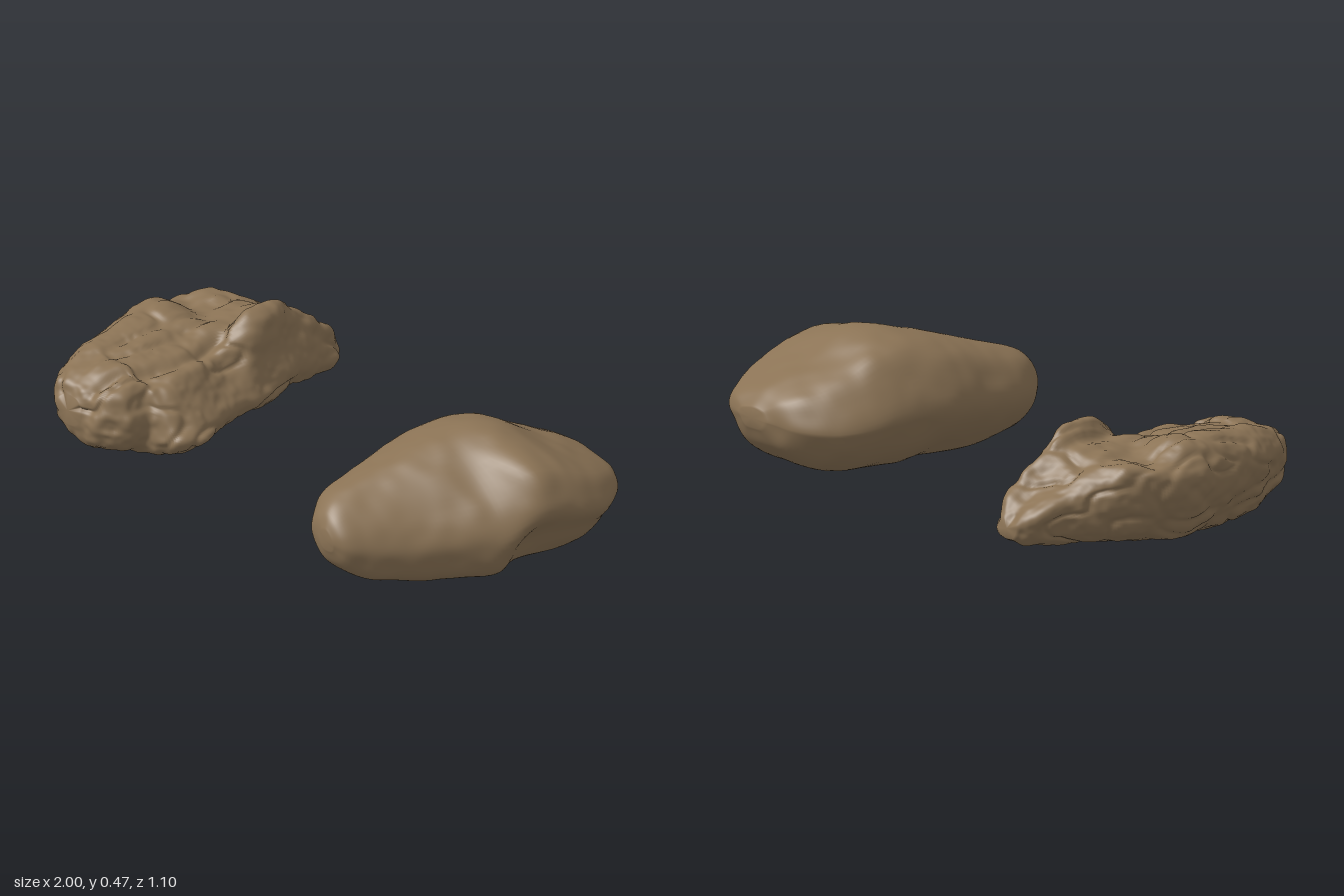
import * as THREE from 'three';

// Repeatable 3D value noise, about -1..1
const hash = (x, y, z) => {
  const s = Math.sin(x * 127.1 + y * 311.7 + z * 74.7) * 43758.5453;
  return (s - Math.floor(s)) * 2 - 1;
};
const fade = (t) => t * t * (3 - 2 * t);
const mix = THREE.MathUtils.lerp;
function noise(x, y, z) {
  const X = Math.floor(x), Y = Math.floor(y), Z = Math.floor(z);
  const u = fade(x - X), v = fade(y - Y), w = fade(z - Z);
  const row = (b, c) => mix(hash(X, Y + b, Z + c), hash(X + 1, Y + b, Z + c), u);
  return mix(mix(row(0, 0), row(1, 0), v), mix(row(0, 1), row(1, 1), v), w);
}
const bump = (d, r) => Math.exp(-(d * d) / (r * r));

// Lofts unit outlines through sections [z, xLeft, xRight, yBottom, yTop, outline],
// then pushes each vertex along its normal by relief(point, normal).
function makeRock(outlines, sections, rings, sides, relief) {
  const loops = outlines.map((o) => new THREE.CatmullRomCurve3(
    o.map(([u, v]) => new THREE.Vector3(u, v, 0)), true));
  const columns = Array.from({ length: sides }, (_, j) => new THREE.CatmullRomCurve3(
    sections.map(([z, xl, xr, yb, yt, o]) => {
      const p = loops[o].getPoint(j / sides);
      return new THREE.Vector3(
        (xl + xr) / 2 + (p.x * (xr - xl)) / 2,
        (yb + yt) / 2 + (p.y * (yt - yb)) / 2, z);
    })));

  const pos = [], index = [];
  for (let i = 0; i <= rings; i++) {
    for (const c of columns) pos.push(...c.getPoint(i / rings).toArray());
  }
  // End centres
  for (const [s, dz] of [[sections[0], -0.004], [sections.at(-1), 0.004]]) {
    pos.push((s[1] + s[2]) / 2, (s[3] + s[4]) / 2, s[0] + dz);
  }
  const back = (rings + 1) * sides, front = back + 1;
  for (let j = 0; j < sides; j++) {
    const k = (j + 1) % sides;
    for (let i = 0; i < rings; i++) {
      const a = i * sides + j, b = i * sides + k;
      index.push(a, a + sides, b, b, a + sides, b + sides);
    }
    index.push(back, j, k, front, rings * sides + k, rings * sides + j);
  }
  const geo = new THREE.BufferGeometry();
  geo.setAttribute('position', new THREE.Float32BufferAttribute(pos, 3));
  geo.setIndex(index);
  geo.computeVertexNormals();

  const P = geo.attributes.position, N = geo.attributes.normal;
  const p = new THREE.Vector3(), n = new THREE.Vector3();
  for (let i = 0; i < P.count; i++) {
    p.fromBufferAttribute(P, i);
    n.fromBufferAttribute(N, i);
    p.addScaledVector(n, relief(p, n));
    P.setXYZ(i, p.x, Math.max(p.y, 0), p.z);
  }
  geo.computeVertexNormals();
  return geo;
}

// Smooth boulder: flat-backed, sloping to the outer side at the front, one hollow
function boulderGeometry() {
  const rear = [[-1, -0.05], [-0.9, 0.35], [-0.7, 0.77], [-0.45, 0.92], [-0.1, 1],
    [0.27, 0.92], [0.78, 0.72], [0.95, 0.42], [1, 0.12], [0.84, -0.25], [0.66, -0.68],
    [0.46, -0.92], [-0.03, -1], [-0.47, -0.94], [-0.76, -0.66], [-0.96, -0.2]];
  const fore = [[-1, 0.02], [-0.92, 0.4], [-0.72, 0.77], [-0.45, 0.93], [-0.1, 1],
    [0.22, 0.87], [0.62, 0.52], [0.87, 0.18], [1, -0.15], [0.96, -0.48], [0.84, -0.78],
    [0.6, -0.95], [0.15, -1], [-0.25, -0.93], [-0.66, -0.64], [-0.93, -0.27]];
  const sections = [
    [-0.54, 0.64, 0.77, 0.17, 0.24, 0], [-0.5, 0.52, 0.87, 0.1, 0.29, 0],
    [-0.4, 0.41, 0.96, 0.035, 0.345, 0], [-0.3, 0.365, 0.995, 0.012, 0.395, 0],
    [-0.2, 0.345, 0.99, 0.004, 0.45, 0], [-0.1, 0.335, 0.975, 0.004, 0.472, 0],
    [0.02, 0.325, 0.92, 0.006, 0.452, 1], [0.1, 0.325, 0.87, 0.01, 0.43, 1],
    [0.2, 0.335, 0.8, 0.015, 0.4, 1], [0.3, 0.35, 0.735, 0.028, 0.375, 1],
    [0.4, 0.385, 0.68, 0.06, 0.345, 1], [0.47, 0.45, 0.63, 0.125, 0.3, 1],
    [0.493, 0.52, 0.585, 0.18, 0.25, 1]];
  const hollow = new THREE.Vector3(0.87, 0.14, -0.1);
  return makeRock([rear, fore], sections, 96, 72, (p) =>
    0.008 * noise(p.x * 6, p.y * 8, p.z * 6)
    + 0.003 * noise(p.x * 17, p.y * 17, p.z * 17)
    - 0.025 * bump(p.distanceTo(hollow), 0.1));
}

// Craggy rock: rear peak, saddle, blocky front, low side ledge, cleft and cracks
function cragGeometry() {
  const rear = [[-1, 0.27], [-0.94, 0.46], [-0.68, 0.58], [-0.25, 0.6], [0.2, 0.78],
    [0.55, 1], [0.74, 0.87], [0.84, 0.4], [0.95, -0.1], [1, -0.42], [0.86, -0.72],
    [0.5, -0.92], [0, -1], [-0.5, -0.97], [-0.77, -0.68], [-0.92, -0.2]];
  const saddle = [[-1, 0.35], [-0.91, 0.66], [-0.62, 0.93], [-0.22, 0.88], [0.12, 0.76],
    [0.4, 0.7], [0.56, 0.6], [0.7, 0.3], [0.88, -0.05], [1, -0.35], [0.88, -0.66],
    [0.5, -0.9], [0, -1], [-0.5, -0.99], [-0.76, -0.7], [-0.89, -0.2]];
  const block = [[-1, 0.25], [-0.91, 0.65], [-0.67, 0.92], [-0.25, 1], [0.15, 0.97],
    [0.5, 0.94], [0.78, 0.75], [0.92, 0.4], [1, 0], [0.97, -0.4], [0.82, -0.76],
    [0.5, -0.95], [0, -1], [-0.5, -0.96], [-0.78, -0.66], [-0.92, -0.2]];
  const sections = [
    [-0.54, -0.71, -0.62, 0.07, 0.13, 0], [-0.5, -0.76, -0.57, 0.045, 0.19, 0],
    [-0.4, -0.81, -0.54, 0.035, 0.27, 0], [-0.31, -0.88, -0.525, 0.03, 0.35, 0],
    [-0.22, -0.94, -0.49, 0.024, 0.39, 0], [-0.1, -0.98, -0.46, 0.022, 0.378, 0],
    [0.02, -0.995, -0.44, 0.02, 0.362, 1], [0.1, -0.975, -0.42, 0.02, 0.358, 1],
    [0.2, -0.95, -0.38, 0.02, 0.355, 1], [0.26, -0.93, -0.37, 0.022, 0.35, 1],
    [0.33, -0.915, -0.4, 0.028, 0.345, 1], [0.37, -0.9, -0.495, 0.035, 0.335, 2],
    [0.45, -0.855, -0.505, 0.06, 0.315, 2], [0.515, -0.81, -0.58, 0.1, 0.29, 2],
    [0.538, -0.76, -0.66, 0.15, 0.25, 2]];
  return makeRock([rear, saddle, block], sections, 180, 144, (p, n) => {
    const lumps = 0.011 * noise(p.x * 9, p.y * 12, p.z * 8)
      + 0.007 * noise(p.x * 21, p.y * 24, p.z * 17)
      + 0.003 * noise(p.x * 43, p.y * 43, p.z * 40);
    const crack = Math.abs(noise(p.x * 11 + 5, p.y * 11, p.z * 5 + 3));
    const line = -0.6 + 0.03 * Math.sin(p.z * 9) - 0.1 * Math.max(0, -p.z);
    const cleft = bump(p.x - line, 0.025) * Math.max(0, n.y + 0.4 * n.z)
      * THREE.MathUtils.smoothstep(p.z, -0.35, -0.2);
    return lumps - 0.01 * bump(crack, 0.12) - 0.025 * cleft + 0.003;
  });
}

export function createModel() {
  const stone = new THREE.MeshStandardMaterial({ color: 0x8b7355 });
  stone.name = 'brown stone';
  const group = new THREE.Group();
  group.name = 'rocks';
  const parts = { smoothBoulder: boulderGeometry(), craggyRock: cragGeometry() };
  for (const [name, geometry] of Object.entries(parts)) {
    const mesh = new THREE.Mesh(geometry, stone);
    mesh.name = name;
    group.add(mesh);
  }
  return group;
}
